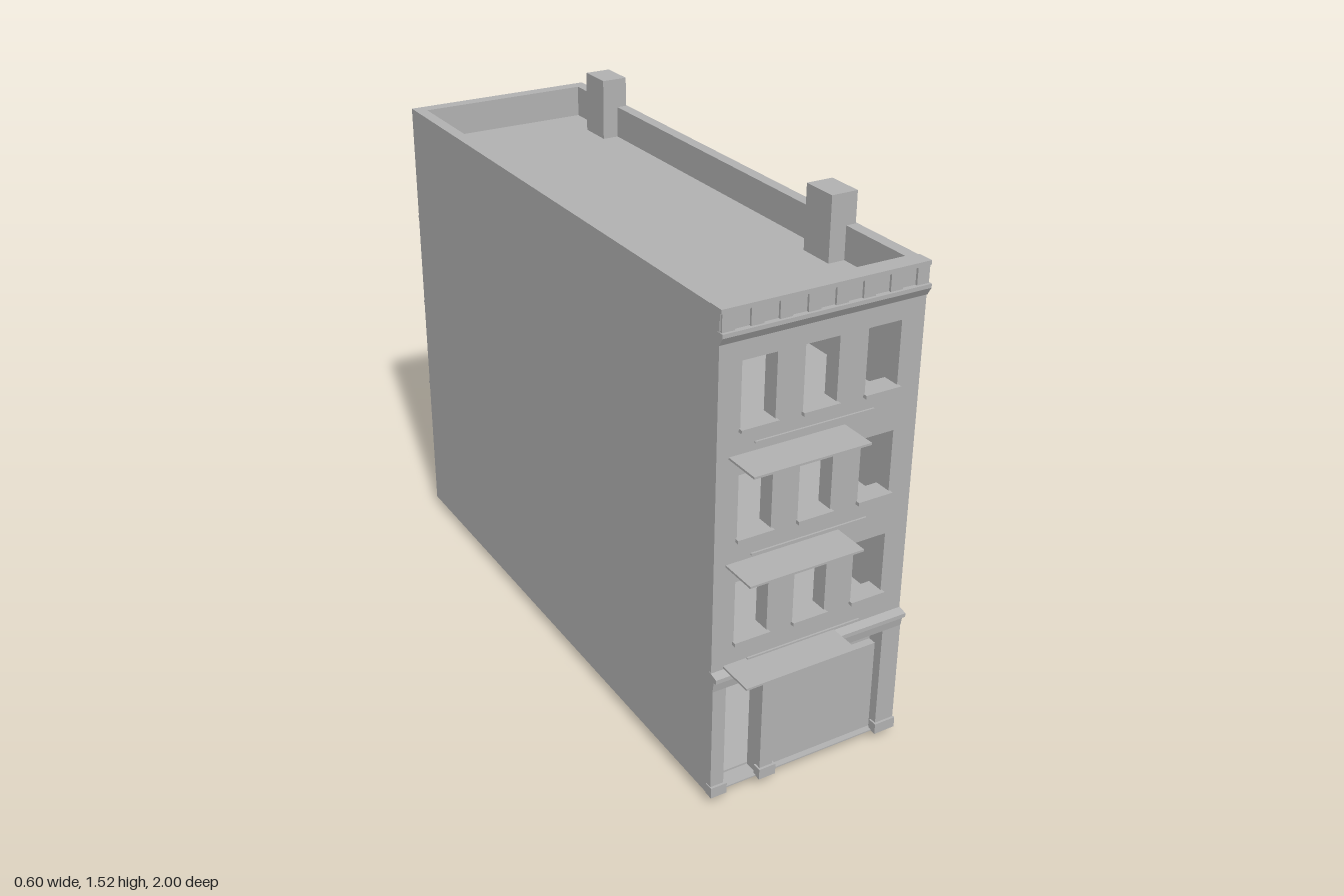
import * as THREE from 'three';

export function createModel() {
  const building = new THREE.Group();
  building.name = 'townhouse';
  const stone = new THREE.MeshStandardMaterial({ color: 0xb2b2b2 });
  stone.name = 'grey stone';

  const add = (name, geometry) => {
    const mesh = new THREE.Mesh(geometry, stone);
    mesh.name = name;
    building.add(mesh);
    return mesh;
  };
  // Box given by its limits on each axis
  const box = (name, x0, x1, y0, y1, z0, z1) =>
    add(name, new THREE.BoxGeometry(x1 - x0, y1 - y0, z1 - z0))
      .position.set((x0 + x1) / 2, (y0 + y1) / 2, (z0 + z1) / 2);

  // Wall with rectangular openings [x0, x1, y0, y1]
  const trace = (path, [x0, x1, y0, y1]) => {
    path.moveTo(x0, y0);
    path.lineTo(x1, y0);
    path.lineTo(x1, y1);
    path.lineTo(x0, y1);
    path.closePath();
    return path;
  };
  const wall = (name, z0, z1, openings) => {
    const shape = trace(new THREE.Shape(), [-0.3, 0.3, 0.03, 1.43]);
    shape.holes = openings.map((o) => trace(new THREE.Path(), o));
    add(name, new THREE.ExtrudeGeometry(shape, { depth: z1 - z0, bevelEnabled: false }))
      .position.z = z0;
  };
  // Moulding running across the front, from a (z, y) profile
  const moulding = (name, points) => {
    const shape = new THREE.Shape(points.map(([z, y]) => new THREE.Vector2(-z, y)));
    const geometry = new THREE.ExtrudeGeometry(shape, { depth: 0.602, bevelEnabled: false });
    geometry.rotateY(Math.PI / 2);
    geometry.translate(-0.301, 0, 0);
    add(name, geometry);
  };

  const columns = [-0.185, -0.005, 0.18];
  const sills = [0.5, 0.805, 1.11];
  const windows = sills.flatMap((y) => columns.map((x) => [x - 0.05, x + 0.05, y, y + 0.177]));

  // Shell
  box('foundation', -0.265, 0.26, 0, 0.03, -0.865, 0.84);
  wall('frontWall', 0.84, 0.89, [...windows,
    [-0.26, -0.145, 0.034, 0.37], [-0.105, 0.24, 0.034, 0.37]]);
  wall('backWall', -0.905, -0.865, [...windows,
    [-0.055, 0.045, 0.13, 0.295], [0.13, 0.23, 0.13, 0.295], [-0.26, -0.15, 0.034, 0.285]]);
  box('leftWall', 0.265, 0.3, 0.03, 1.43, -0.865, 0.84);
  box('rightWall', -0.3, -0.265, 0.03, 1.43, -0.865, 0.84);

  // Storey floors and roof deck
  [[0.03, 0.04], [0.42, 0.435], [0.725, 0.74], [1.03, 1.045], [1.32, 1.335]].forEach(([y0, y1], i) =>
    box(i === 4 ? 'roofDeck' : 'floor', -0.265, 0.265, y0, y1, -0.865, 0.84));

  // Chimneys
  for (const z of [-0.655, 0.545])
    box('chimney', 0.215, 0.295, 1.33, 1.52, z - 0.055, z + 0.055);

  // Front window sills
  for (const y of sills)
    for (const x of columns)
      box('windowSill', x - 0.054, x + 0.054, y - 0.01, y, 0.87, 0.903);

  // Balcony slabs on both faces, hand rails on the front
  for (const y of [0.43, 0.733, 1.036]) {
    box('frontBalcony', -0.265, 0.075, y - 0.003, y + 0.003, 0.88, 1);
    box('backBalcony', -0.265, 0.075, y - 0.003, y + 0.003, -1, -0.9);
    box('balconyRail', -0.265, 0.075, y + 0.092, y + 0.097, 0.995, 1);
  }

  // Shopfront pilasters with bases
  for (const [x0, x1] of [[-0.3, -0.26], [-0.145, -0.105], [0.24, 0.3]]) {
    box('pilaster', x0, x1, 0.03, 0.37, 0.88, 0.9);
    box('pilasterBase', Math.max(x0 - 0.005, -0.302), Math.min(x1 + 0.007, 0.302),
      0.03, 0.062, 0.88, 0.907);
  }
  // Shop panel, with the part above it set back
  box('shopPanel', -0.105, 0.24, 0.03, 0.315, 0.845, 0.872);
  box('shopTransom', -0.105, 0.24, 0.315, 0.37, 0.841, 0.848);

  // Mouldings over the shopfront and under the parapet
  moulding('shopCornice', [[0.88, 0.37], [0.9, 0.37], [0.905, 0.402], [0.916, 0.405],
    [0.916, 0.417], [0.88, 0.425]]);
  moulding('upperCornice', [[0.88, 1.34], [0.892, 1.34], [0.905, 1.362], [0.905, 1.373], [0.88, 1.373]]);
  moulding('parapetCap', [[0.85, 1.42], [0.898, 1.42], [0.898, 1.432], [0.85, 1.432]]);
  for (let i = 0; i < 8; i++) {
    const x = -0.28 + i * 0.08;
    box('corniceBlock', x - 0.018, x + 0.018, 1.373, 1.42, 0.885, 0.897);
  }
  return building;
}
